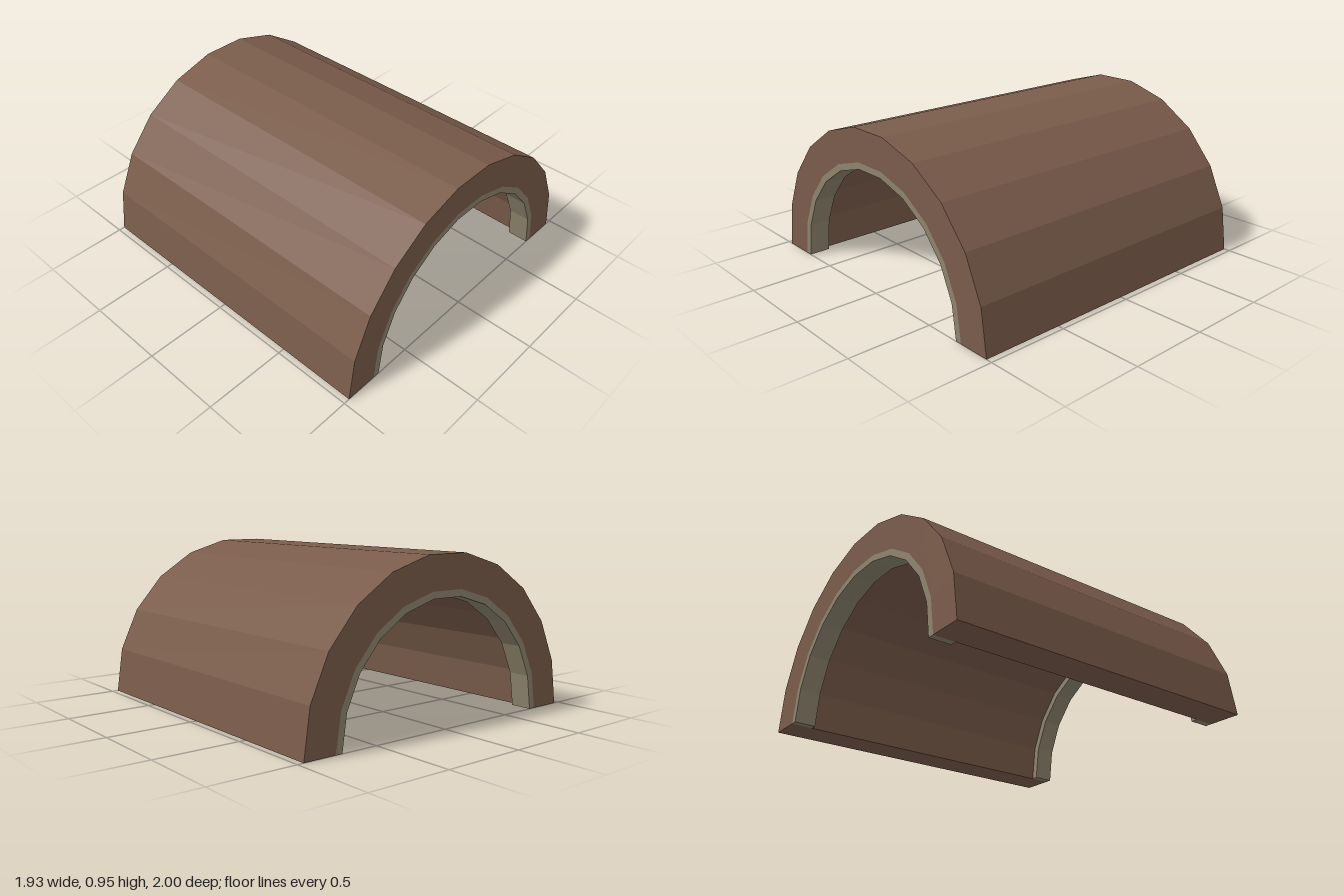
import * as THREE from 'three';

const SEGMENTS = 11;

// Half-ring cross-section with straight facets, extruded along z
function archGeometry(outer, inner, depth) {
  const points = [];
  for (let i = 0; i <= SEGMENTS; i++) {
    const a = (i / SEGMENTS) * Math.PI;
    points.push(new THREE.Vector2(Math.cos(a) * outer, Math.sin(a) * outer));
  }
  for (let i = SEGMENTS; i >= 0; i--) {
    const a = (i / SEGMENTS) * Math.PI;
    points.push(new THREE.Vector2(Math.cos(a) * inner, Math.sin(a) * inner));
  }
  const geometry = new THREE.ExtrudeGeometry(new THREE.Shape(points), { depth, bevelEnabled: false });
  return geometry.translate(0, 0, -depth / 2);
}

export function createModel() {
  const brown = new THREE.MeshStandardMaterial({ color: 0x7a5c4b, flatShading: true });
  brown.name = 'brown';
  const stone = new THREE.MeshStandardMaterial({ color: 0x8d846d, flatShading: true });
  stone.name = 'stone';

  const model = new THREE.Group();
  model.name = 'archedTunnel';

  // Thick vault running the full length
  const vault = new THREE.Mesh(archGeometry(0.963, 0.765, 2), brown);
  vault.name = 'vault';
  model.add(vault);

  // Lining ring inside each mouth, flush with the end
  const trimDepth = 0.13;
  const trimGeometry = archGeometry(0.765, 0.725, trimDepth);
  for (const [name, side] of [['frontTrim', 1], ['backTrim', -1]]) {
    const trim = new THREE.Mesh(trimGeometry, stone);
    trim.name = name;
    trim.position.z = side * (1 - trimDepth / 2);
    model.add(trim);
  }
  return model;
}
